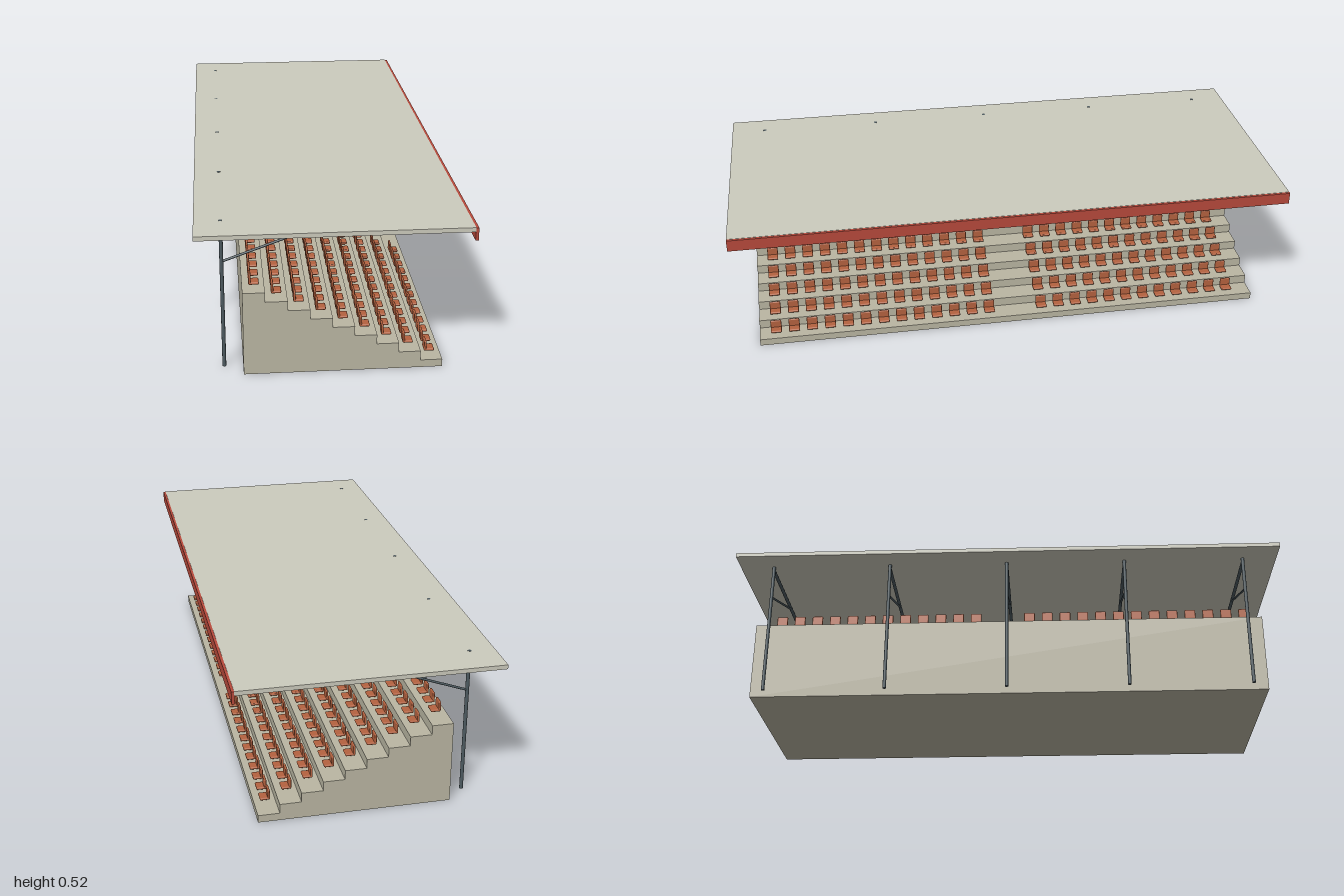
import * as THREE from 'three';
import { RoundedBoxGeometry } from 'three/addons/geometries/RoundedBoxGeometry.js';
import { mergeGeometries } from 'three/addons/utils/BufferGeometryUtils.js';

const ROWS = 9, TREAD = 0.0723, RISE = 0.0331;
const BACK = -0.294, FIRST_STEP = 0.026, LENGTH = 1.876;

const paint = (color) => new THREE.MeshStandardMaterial({ color });

function addMesh(parent, name, geometry, material, x = 0, y = 0, z = 0) {
  const mesh = new THREE.Mesh(geometry, material);
  mesh.name = name;
  mesh.position.set(x, y, z);
  parent.add(mesh);
  return mesh;
}

// Round bar between two points in the x-y plane
function addBar(parent, name, a, b, radius, material) {
  const from = new THREE.Vector3(a[0], a[1], 0);
  const to = new THREE.Vector3(b[0], b[1], 0);
  const dir = to.clone().sub(from);
  const bar = addMesh(parent, name, new THREE.CylinderGeometry(radius, radius, dir.length(), 12), material);
  bar.position.copy(from).add(to).multiplyScalar(0.5);
  bar.quaternion.setFromUnitVectors(new THREE.Vector3(0, 1, 0), dir.normalize());
}

export function createModel() {
  const model = new THREE.Group();
  model.name = 'grandstand';
  const concrete = paint(0xbab6a3);
  const roofPaint = paint(0xcccbbd);
  const steel = paint(0x4d5a60);
  const red = paint(0xb84a3c);
  const seatPaint = paint(0xb5623f);

  // Stepped concrete terrace, extruded along its length
  const profile = new THREE.Shape();
  const front = BACK + ROWS * TREAD;
  profile.moveTo(BACK, 0);
  profile.lineTo(front, 0);
  for (let i = 0; i < ROWS; i++) {
    const y = FIRST_STEP + i * RISE;
    profile.lineTo(front - i * TREAD, y);
    profile.lineTo(front - (i + 1) * TREAD, y);
  }
  profile.closePath();
  const terrace = new THREE.ExtrudeGeometry(profile, { depth: LENGTH, bevelEnabled: false });
  addMesh(model, 'terrace', terrace.translate(0, 0, -LENGTH / 2), concrete);

  // One seat: flat pad with an upright back
  const pad = new RoundedBoxGeometry(0.034, 0.009, 0.04, 1, 0.004).translate(0.017, 0.0045, 0);
  const rest = new RoundedBoxGeometry(0.008, 0.036, 0.04, 1, 0.0038).translate(0.004, 0.019, 0);
  const seat = mergeGeometries([pad, rest]);

  // A row of seats with two places left out for the aisle
  const places = [];
  for (let i = 0; i < 27; i++) {
    if (i === 13 || i === 14) continue;
    places.push(seat.clone().translate(0, 0, 0.877 - i * 0.0663));
  }
  const rowGeometry = mergeGeometries(places);
  const seats = new THREE.Group();
  seats.name = 'seats';
  model.add(seats);
  for (let i = 0; i < ROWS; i++) {
    addMesh(seats, 'seatRow', rowGeometry, seatPaint, 0.303 - i * 0.072, 0.0345 + i * RISE, 0);
  }

  // Roof slab and front fascia
  addMesh(model, 'roof', new THREE.BoxGeometry(0.873, 0.015, 2), roofPaint, -0.0045, 0.5105, 0);
  addMesh(model, 'fascia', new THREE.BoxGeometry(0.01, 0.042, 2), red, 0.436, 0.496, 0);

  // Steel frames: post, cantilever beam and diagonal brace
  for (let i = -2; i <= 2; i++) {
    const frame = new THREE.Group();
    frame.name = 'roofFrame';
    frame.position.z = i * 0.4375;
    addBar(frame, 'post', [-0.356, 0], [-0.356, 0.5185], 0.0063, steel);
    addBar(frame, 'beam', [-0.356, 0.489], [0.375, 0.489], 0.0063, steel);
    addBar(frame, 'brace', [-0.356, 0.376], [-0.05, 0.487], 0.004, steel);
    model.add(frame);
  }
  return model;
}
